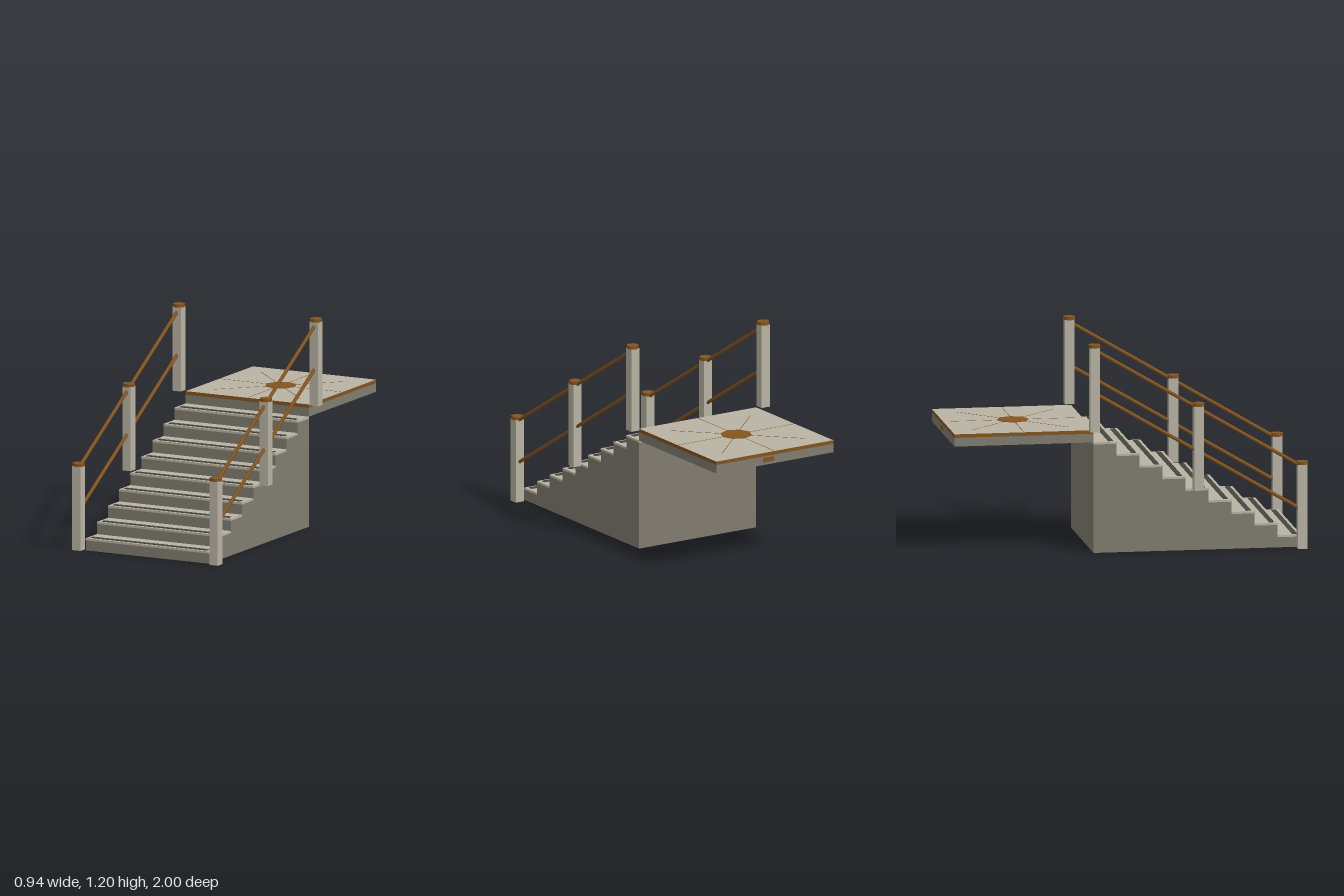
import * as THREE from 'three';

const mat = (name, color) => {
  const m = new THREE.MeshStandardMaterial({ color });
  m.name = name;
  return m;
};

export function createModel() {
  const stone = mat('light stone', 0xb8b3a3);
  const darkStone = mat('dark stone', 0x807c70);
  const bronze = mat('bronze', 0x85541f);
  const grip = mat('grip strip', 0x45463e);

  const model = new THREE.Group();
  model.name = 'staircase';

  const add = (name, geometry, material, x = 0, y = 0, z = 0, parent = model) => {
    const mesh = new THREE.Mesh(geometry, material);
    mesh.name = name;
    mesh.position.set(x, y, z);
    parent.add(mesh);
    return mesh;
  };
  const box = (name, w, h, d, material, x, y, z, parent) =>
    add(name, new THREE.BoxGeometry(w, h, d), material, x, y, z, parent);

  const steps = 9, rise = 0.07, front = 0.965, back = -0.21;
  const run = (front - back) / steps, width = 0.784, treadH = 0.012;

  // Solid stepped body, drawn in side profile and extruded across x
  const profile = new THREE.Shape();
  profile.moveTo(-front, 0);
  for (let i = 0; i < steps; i++) {
    const top = (i + 1) * rise - treadH;
    profile.lineTo(-front + i * run, top);
    profile.lineTo(-front + (i + 1) * run, top);
  }
  profile.lineTo(-back, 0);
  const body = new THREE.ExtrudeGeometry(profile, { depth: width, bevelEnabled: false });
  body.rotateY(Math.PI / 2);
  body.translate(-width / 2, 0, 0);
  add('stairBody', body, darkStone);

  // Treads with a dark grip strip near each front edge
  for (let i = 0; i < steps; i++) {
    const z = front - i * run, top = (i + 1) * rise;
    box('tread', width, treadH, run + 0.002, stone, 0, top - treadH / 2, z - run / 2 + 0.001);
    box('gripStrip', 0.74, 0.004, 0.028, grip, 0, top + 0.001, z - 0.03);
  }

  // Landing slab: dark base, bronze edge band, pale top
  const landing = new THREE.Group();
  landing.name = 'landing';
  model.add(landing);
  const depth = 0.79, lz = -0.605, top = 0.7;
  box('slab', width, 0.05, depth, darkStone, 0, 0.655, lz, landing);
  const bandMaterials = [bronze, bronze, stone, darkStone, bronze, bronze];
  box('edgeBand', width, 0.02, depth, bandMaterials, 0, top - 0.01, lz, landing);

  // Octagonal medallion and thin inlaid rays
  add('medallion', new THREE.CylinderGeometry(0.09, 0.09, 0.004, 8), bronze, 0, top + 0.001, lz, landing);
  for (let i = 0; i < 8; i++) {
    const a = (i * Math.PI) / 4, mid = 0.24;
    const ray = box('ray', 0.3, 0.002, 0.003, bronze,
      Math.cos(a) * mid, top, lz - Math.sin(a) * mid, landing);
    ray.rotation.y = a;
  }
  box('backPlate', 0.07, 0.026, 0.004, bronze, 0.04, 0.658, -0.999, landing);

  // Railings: three capped posts and two sloping rails on each side
  const posts = [[0.967, 0], [0.377, 0.35], [-0.213, 0.7]];
  for (const side of [-1, 1]) {
    const railing = new THREE.Group();
    railing.name = side > 0 ? 'leftRailing' : 'rightRailing';
    railing.position.x = side * 0.437;
    model.add(railing);

    for (const [z, y] of posts) {
      box('post', 0.054, 0.48, 0.054, stone, 0, y + 0.24, z, railing);
      add('postCap', new THREE.CylinderGeometry(0.034, 0.034, 0.018, 12), bronze, 0, y + 0.488, z, railing);
    }
    for (let i = 0; i < 2; i++) {
      const [z0, y0] = posts[i], [z1, y1] = posts[i + 1];
      for (const h of [0.22, 0.466]) {
        const a = new THREE.Vector3(0, y0 + h, z0), b = new THREE.Vector3(0, y1 + h, z1);
        const rail = add('rail', new THREE.CylinderGeometry(0.01, 0.01, a.distanceTo(b), 8), bronze, 0, 0, 0, railing);
        rail.position.copy(a).lerp(b, 0.5);
        rail.quaternion.setFromUnitVectors(new THREE.Vector3(0, 1, 0), b.sub(a).normalize());
      }
    }
  }
  return model;
}
